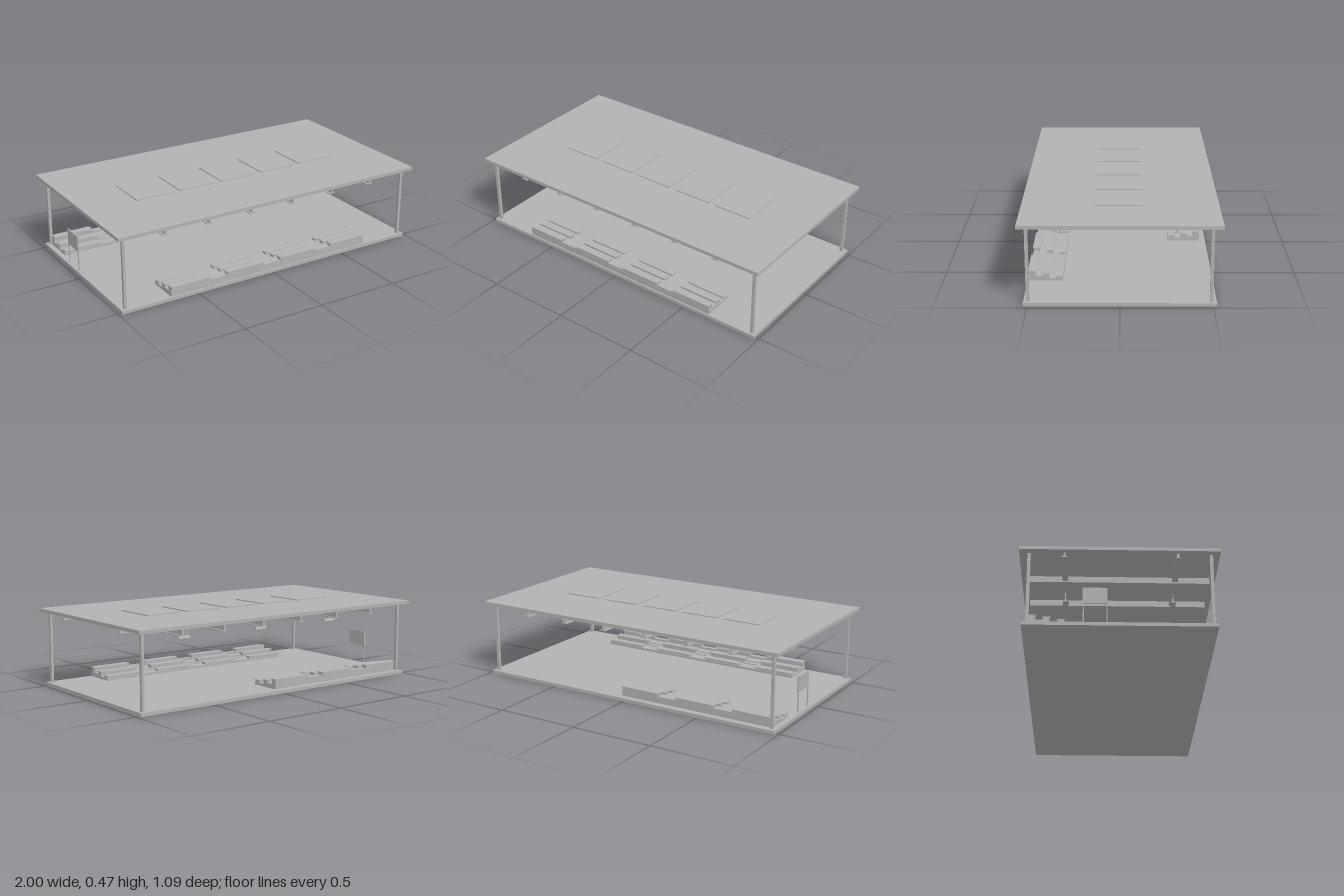
import * as THREE from 'three';

const grey = new THREE.MeshStandardMaterial({ color: 0xb2b2b2 });
grey.name = 'plainGrey';

// Box given by its lower and upper limits on each axis
function box(parent, name, [x0, x1], [y0, y1], [z0, z1]) {
  const mesh = new THREE.Mesh(new THREE.BoxGeometry(x1 - x0, y1 - y0, z1 - z0), grey);
  mesh.position.set((x0 + x1) / 2, (y0 + y1) / 2, (z0 + z1) / 2);
  mesh.name = name;
  parent.add(mesh);
  return mesh;
}

function group(parent, name) {
  const g = new THREE.Group();
  g.name = name;
  parent.add(g);
  return g;
}

const around = (c, size) => [c - size / 2, c + size / 2];

// Rows of benches on stepped platforms; the high row lies at z = 0, the low row at depth 0.19
function bleachers(parent, name, sections) {
  const g = group(parent, name);
  const width = 0.252, gap = 0.112;
  const length = sections * width + (sections - 1) * gap;
  box(g, 'lowerPlatform', [0, length], [0.02, 0.035], [0.094, 0.19]);
  box(g, 'upperPlatform', [0, length], [0.02, 0.047], [0, 0.094]);
  const rows = [[0.017, 0.079, 0.035], [0.093, 0.064, 0.035], [0.169, 0.05, 0.031]];
  for (let i = 0; i < sections; i++) {
    const x = i * (width + gap);
    for (const [z, top, base] of rows) {
      box(g, 'benchBase', [x + 0.002, x + width - 0.002], [base, top - 0.004], around(z, 0.034));
      box(g, 'benchSeat', [x, x + width], [top - 0.005, top], around(z, 0.045));
    }
    // Aisle steps between the sections
    if (i < sections - 1) {
      const aisle = [x + width, x + width + gap];
      box(g, 'aisleStep', aisle, [0.045, 0.06], [0.001, 0.034]);
      box(g, 'aisleStep', aisle, [0.03, 0.041], [0.094, 0.125]);
    }
  }
  return g;
}

export function createModel() {
  const model = new THREE.Group();
  model.name = 'openHall';

  box(model, 'floorSlab', [-0.98, 0.98], [0, 0.02], [-0.52, 0.52]);
  box(model, 'roofSlab', [-1, 1], [0.445, 0.465], [-0.545, 0.545]);

  // Corner columns
  for (const x of [-0.952, 0.952])
    for (const z of [-0.491, 0.496])
      box(model, 'cornerColumn', around(x, 0.017), [0.02, 0.446], around(z, 0.018));

  // Skylights
  for (let i = -2; i <= 2; i++)
    box(model, 'skylight', around(i * 0.28, 0.233), [0.464, 0.471], [-0.126, 0.14]);

  // Cross beams with bottom flanges
  for (let i = 0; i < 6; i++) {
    const x = -0.7 + i * 0.28;
    const beam = group(model, 'crossBeam');
    box(beam, 'beamWeb', around(x, 0.012), [0.406, 0.445], [-0.51, 0.51]);
    box(beam, 'beamFlange', around(x, 0.036), [0.402, 0.408], [-0.51, 0.51]);
  }

  // Long beams, each carrying three hanging lamps
  const shade = new THREE.Shape([[-0.014, 0], [0.014, 0], [0.007, 0.012], [-0.007, 0.012]]
    .map(([x, y]) => new THREE.Vector2(x, y)));
  const shadeGeometry = new THREE.ExtrudeGeometry(shade, { depth: 0.08, bevelEnabled: false })
    .translate(0, 0, -0.04).rotateY(Math.PI / 2);
  for (const z of [-0.3, 0.315]) {
    const beam = group(model, 'longBeam');
    box(beam, 'beamWeb', [-0.97, 0.97], [0.421, 0.445], around(z, 0.012));
    box(beam, 'beamFlange', [-0.97, 0.97], [0.417, 0.422], around(z, 0.032));
    for (const x of [-0.545, 0, 0.55]) {
      const lamp = group(model, 'hangingLamp');
      const lampShade = new THREE.Mesh(shadeGeometry, grey);
      lampShade.name = 'lampShade';
      lampShade.position.set(x, 0.352, z);
      lamp.add(lampShade);
      for (const side of [-1, 1])
        box(lamp, 'lampRod', around(x + side * 0.027, 0.004), [0.363, 0.418], around(z, 0.004));
    }
  }

  // Front bleachers face the middle, back bleachers mirror them
  const front = bleachers(model, 'frontBleachers', 4);
  front.rotation.y = Math.PI;
  front.position.set(0.672, 0, 0.511);
  const back = bleachers(model, 'backBleachers', 3);
  back.position.set(-0.95, 0, -0.482);

  // Board on two legs at the end of the hall
  const board = group(model, 'standingBoard');
  box(board, 'boardPanel', around(-0.96, 0.008), [0.138, 0.233], [-0.2, -0.067]);
  for (const z of [-0.194, -0.069])
    box(board, 'boardLeg', around(-0.962, 0.006), [0.02, 0.14], around(z, 0.006));

  return model;
}
